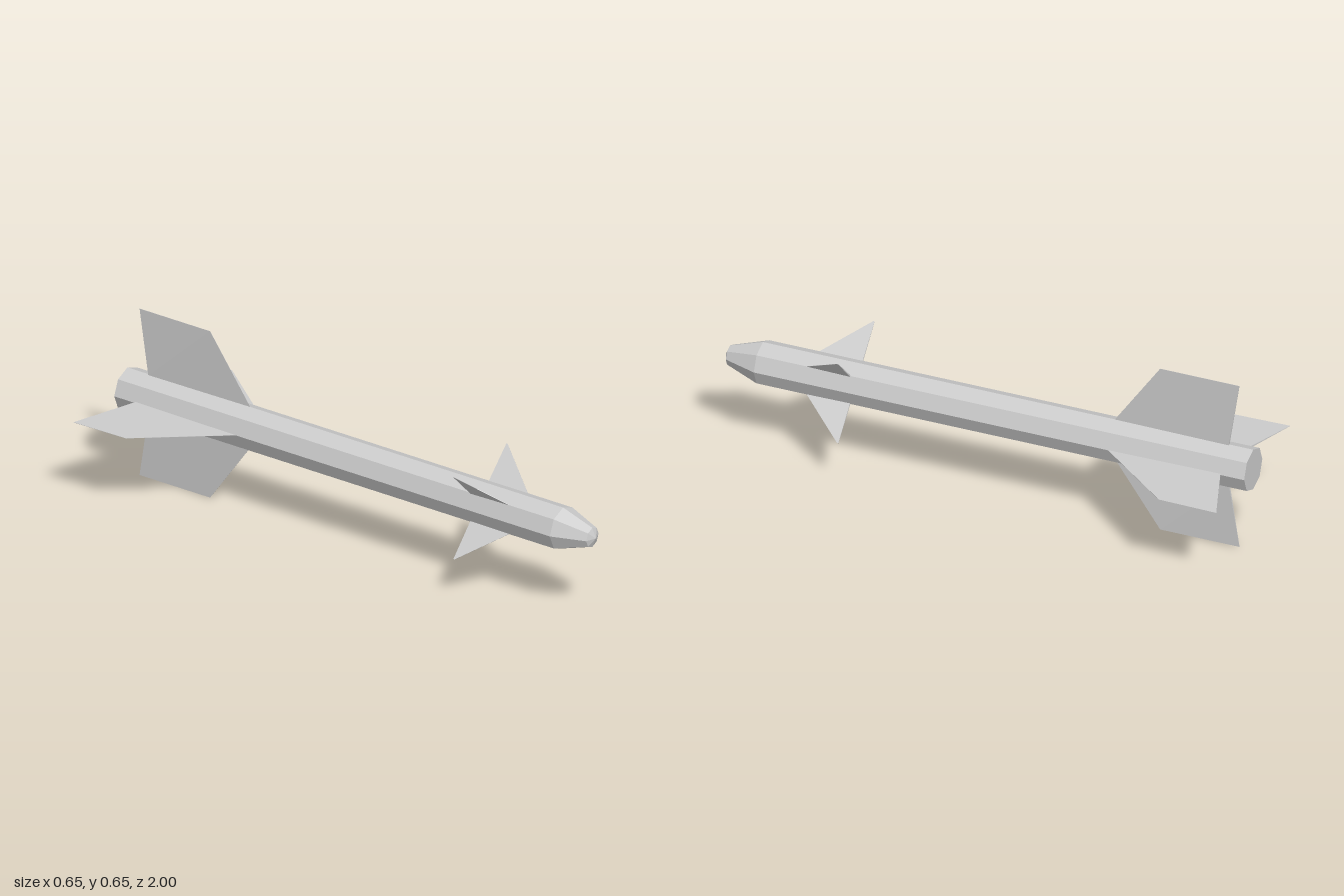
import * as THREE from 'three';
import { ConvexGeometry } from 'three/addons/geometries/ConvexGeometry.js';

const material = new THREE.MeshStandardMaterial({ color: 0xcccccc, flatShading: true });
const AXIS_Y = 0.325;
const BODY_R = 0.08;

// Thin wedge fin: sharp leading edge, slightly thick trailing edge.
// Corners are [radius, z]; local +x points outwards from the body axis.
function fin(name, angle, { rootLead, rootTrail, tipLead, tipTrail }, halfThickness) {
  const points = [];
  const add = ([r, z], half) => points.push(new THREE.Vector3(r, half, z), new THREE.Vector3(r, -half, z));
  add(rootLead, 0.0006);
  add(rootTrail, halfThickness);
  add(tipLead, 0.0004);
  add(tipTrail, 0.0006);
  const mesh = new THREE.Mesh(new ConvexGeometry(points), material);
  mesh.name = name;
  mesh.rotation.z = angle;
  mesh.position.y = AXIS_Y;
  return mesh;
}

export function createModel() {
  const model = new THREE.Group();
  model.name = 'missile';

  // Eight-sided body with tapered nose and closed tail
  const profile = [[0, -1], [BODY_R, -1], [BODY_R, 0.86], [0.037, 0.985], [0, 1]]
    .map(([r, z]) => new THREE.Vector2(r, z));
  const body = new THREE.Mesh(new THREE.LatheGeometry(profile, 8).rotateX(Math.PI / 2), material);
  body.name = 'body';
  body.position.y = AXIS_Y;
  model.add(body);

  // Tail fins: the side pair is swept further back than the upright pair
  const sideFin = {
    rootLead: [0.075, -0.477], rootTrail: [0.075, -0.908],
    tipLead: [0.32, -0.78], tipTrail: [0.325, -1],
  };
  const uprightFin = {
    rootLead: [0.075, -0.472], rootTrail: [0.075, -0.908],
    tipLead: [0.325, -0.647], tipTrail: [0.325, -0.948],
  };
  ['left', 'top', 'right', 'bottom'].forEach((side, i) => {
    model.add(fin(`${side}TailFin`, i * Math.PI / 2, i % 2 ? uprightFin : sideFin, 0.004));
  });

  // Triangular front fins on the diagonals
  const frontFin = {
    rootLead: [0.075, 0.675], rootTrail: [0.075, 0.505],
    tipLead: [0.226, 0.51], tipTrail: [0.226, 0.505],
  };
  ['topLeft', 'topRight', 'bottomRight', 'bottomLeft'].forEach((side, i) => {
    model.add(fin(`${side}FrontFin`, (i + 0.5) * Math.PI / 2, frontFin, 0.003));
  });

  return model;
}
